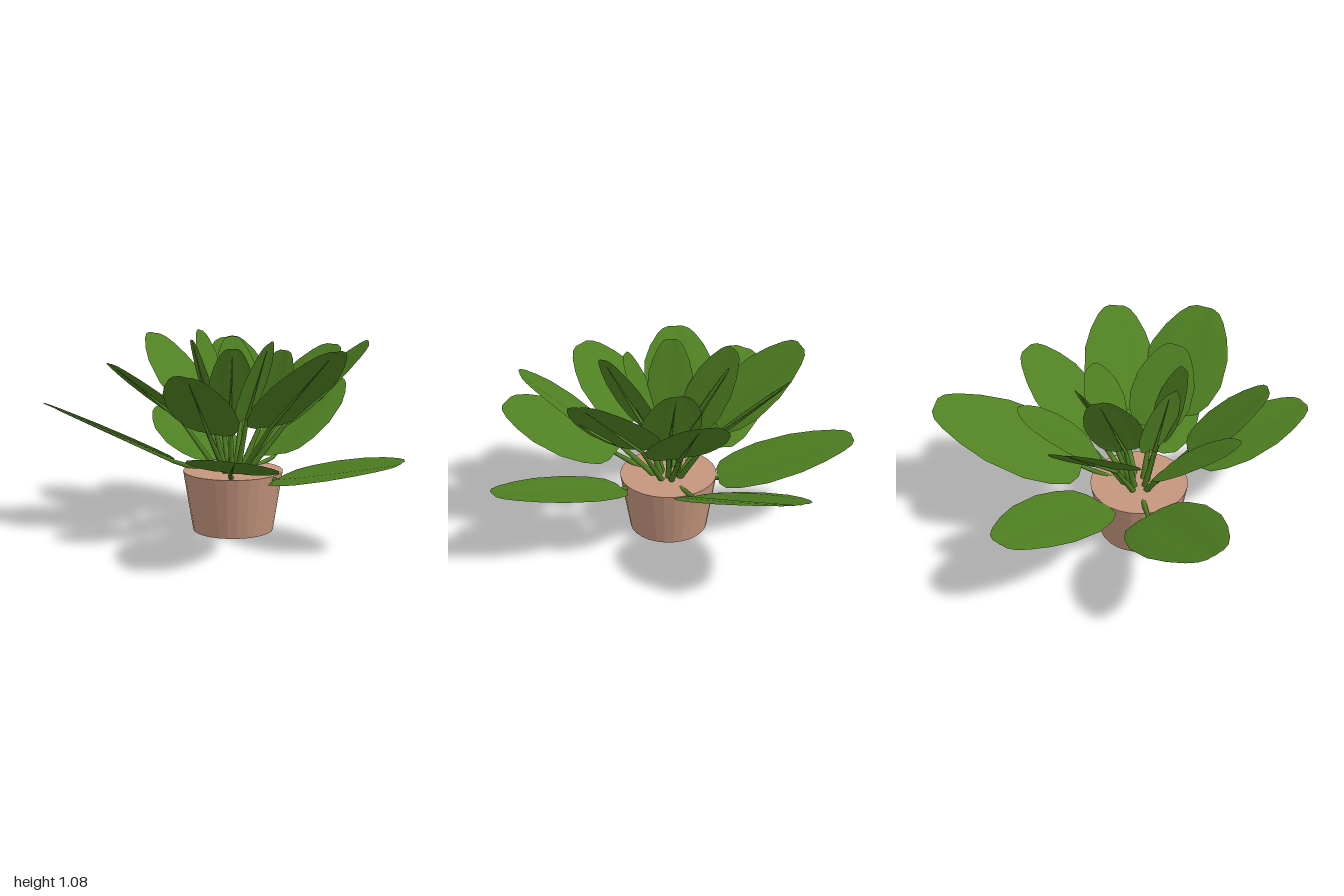
import * as THREE from 'three';

const leafMat = new THREE.MeshStandardMaterial({ name: 'leafGreen', color: 0x4f8022, side: THREE.DoubleSide });
const potMat = new THREE.MeshStandardMaterial({ name: 'terracotta', color: 0xc4957d, flatShading: true });

const V = (x, y, z) => new THREE.Vector3(x, y, z);
const POT = V(-0.085, 0.33, 0.02);

// Half-width of a blade along its length, as a share of the widest point
const OUTLINE = [[0, 0.36], [0.04, 0.66], [0.15, 0.86], [0.33, 1], [0.58, 0.95], [0.76, 0.77], [0.9, 0.55], [0.97, 0.38], [1, 0.2]];

// Blade base, blade tip, width, and sideways lean of the upper face (x)
const OUTER = [
  [[0.0, 0.33, -0.25], [0.04, 0.55, -1.0], 0.46, 0],
  [[0.24, 0.36, -0.08], [0.95, 0.71, -0.48], 0.49, -0.5],
  [[-0.32, 0.37, -0.23], [-0.94, 0.69, -0.57], 0.47, 0.5],
  [[-0.27, 0.38, 0.3], [-0.61, 0.58, 0.91], 0.47, 0.14],
  [[0.03, 0.32, 0.3], [0.29, 0.49, 0.99], 0.43, -0.15],
];
const MIDDLE = [
  [[-0.33, 0.61, -0.09], [-0.75, 0.94, -0.11], 0.41, 0],
  [[0.21, 0.58, 0.0], [0.63, 0.98, -0.05], 0.44, 0],
  [[-0.06, 0.61, 0.34], [0.02, 1.04, 0.81], 0.49, 0],
  [[-0.31, 0.57, 0.16], [-0.61, 0.92, 0.46], 0.4, 0.2],
  [[0.16, 0.62, 0.19], [0.44, 1.04, 0.53], 0.43, -0.4],
  [[-0.13, 0.61, -0.25], [-0.17, 1.03, -0.73], 0.42, 0.2],
  [[0.09, 0.59, -0.15], [0.23, 1.0, -0.58], 0.38, -0.2],
];
const INNER = [
  [[-0.19, 0.62, 0.0], [-0.31, 1.05, -0.03], 0.26, 0],
  [[-0.15, 0.62, 0.1], [-0.22, 1.02, 0.24], 0.24, 0],
  [[-0.08, 0.63, 0.14], [-0.08, 1.05, 0.37], 0.34, -0.3],
  [[0.08, 0.59, 0.04], [0.25, 0.97, 0.02], 0.34, 0],
  [[-0.08, 0.62, -0.1], [-0.08, 1.07, -0.34], 0.3, 0.3],
  [[0.02, 0.62, -0.06], [0.09, 1.03, -0.28], 0.25, 0],
];

// Tapered rod between two points
function rod(name, a, b, r0, r1) {
  const dir = b.clone().sub(a);
  const mesh = new THREE.Mesh(new THREE.CylinderGeometry(r1, r0, dir.length(), 8), leafMat);
  mesh.name = name;
  mesh.position.copy(a).add(b).multiplyScalar(0.5);
  mesh.quaternion.setFromUnitVectors(V(0, 1, 0), dir.normalize());
  return mesh;
}

function makeLeaf(spec, reach, name) {
  const [b, t, width, lean] = spec;
  const base = V(...b), tip = V(...t);
  const along = tip.clone().sub(base);
  const length = along.length();
  along.normalize();
  const side = along.clone().cross(V(lean, 1, 0)).normalize();
  const normal = side.clone().cross(along);

  // Flat grid shaped to the outline, folded slightly along the midrib
  const rows = OUTLINE.length - 1;
  const geo = new THREE.PlaneGeometry(1, 1, 6, rows);
  const pos = geo.attributes.position;
  for (let i = 0; i < pos.count; i++) {
    const u = pos.getX(i) * 2;
    const [v, w] = OUTLINE[Math.round((pos.getY(i) + 0.5) * rows)];
    const lift = width * w * (0.09 * Math.abs(u) - 0.07 * u * u);
    pos.setXYZ(i, u * w * width / 2, v * length, lift);
  }
  geo.applyMatrix4(new THREE.Matrix4().makeBasis(side, along, normal).setPosition(base));
  geo.computeVertexNormals();
  const blade = new THREE.Mesh(geo, leafMat);
  blade.name = 'blade';

  // Stalk rises from the pot and runs on as the midrib beneath the blade
  const out = V(base.x - POT.x, 0, base.z - POT.z).normalize();
  const foot = POT.clone().addScaledVector(out, reach);
  foot.y -= 0.02;
  const under = base.clone().addScaledVector(normal, -0.01);
  const ribEnd = tip.clone().addScaledVector(along, -length * 0.1).addScaledVector(normal, -0.002);

  const leaf = new THREE.Group();
  leaf.name = name;
  leaf.add(blade, rod('stalk', foot, under, 0.018, 0.011), rod('midrib', under, ribEnd, 0.01, 0.001));
  return leaf;
}

export function createModel() {
  const model = new THREE.Group();
  model.name = 'pottedPlant';

  // Tapered pot, closed at the top
  const pot = new THREE.Mesh(new THREE.CylinderGeometry(0.273, 0.22, 0.33, 28), potMat);
  pot.name = 'pot';
  pot.position.set(POT.x, 0.165, POT.z);
  model.add(pot);

  // Three rings of leaves
  OUTER.forEach(s => model.add(makeLeaf(s, 0.14, 'outerLeaf')));
  MIDDLE.forEach(s => model.add(makeLeaf(s, 0.07, 'middleLeaf')));
  INNER.forEach(s => model.add(makeLeaf(s, 0.04, 'innerLeaf')));
  return model;
}
